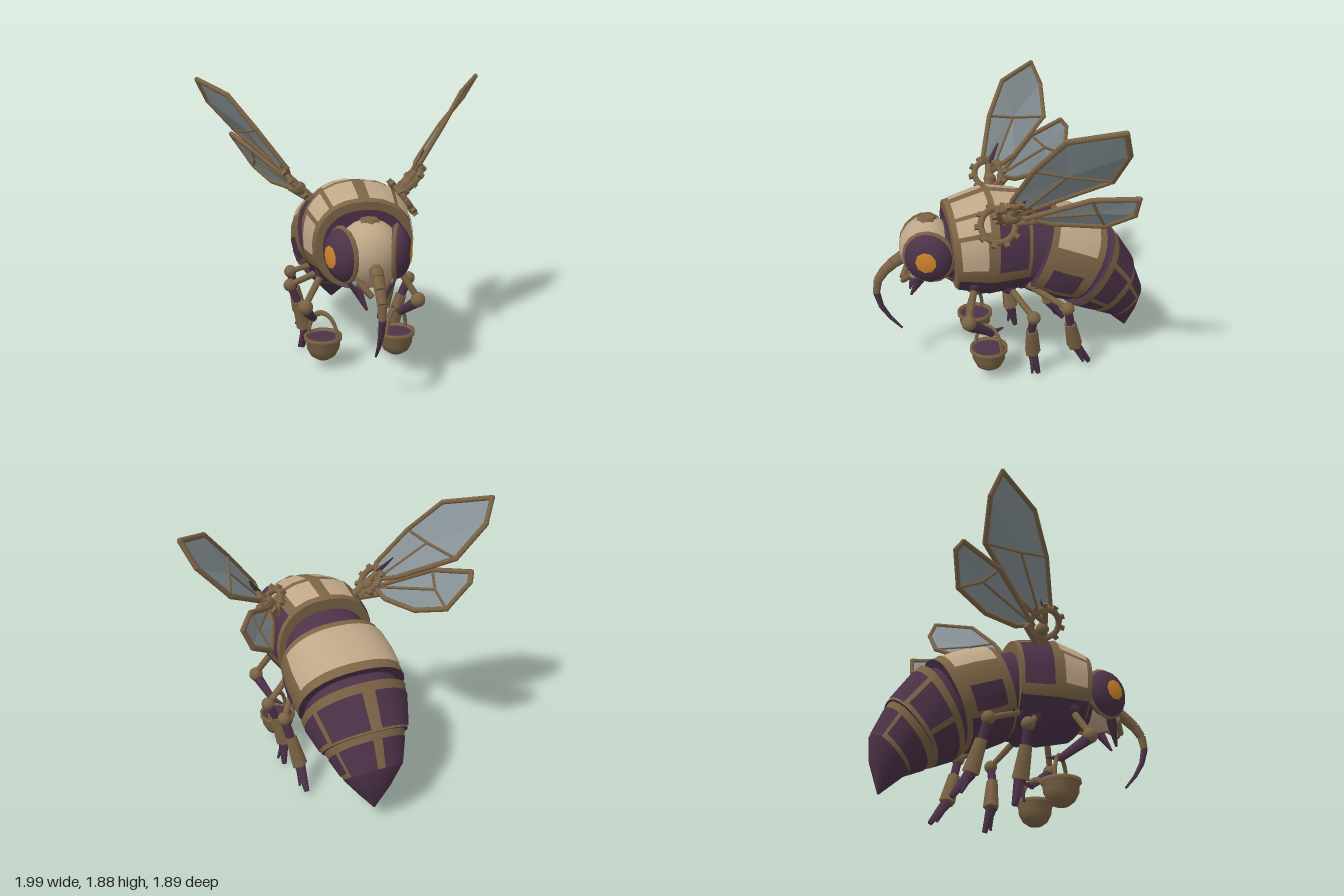
import * as THREE from 'three';

const mat = (name, color, extra = {}) => {
  const m = new THREE.MeshStandardMaterial({ color, ...extra });
  m.name = name;
  return m;
};

export function createModel() {
  const root = new THREE.Group();
  root.name = 'mechanicalBee';
  const both = { side: THREE.DoubleSide };
  const brass = mat('brass', 0x7c6446, both);
  const cream = mat('cream', 0xbfa688, both);
  const purple = mat('purple', 0x4d3349, both);
  const glass = mat('wingGlass', 0x879296, both);
  const amber = mat('amber', 0xd0852a);

  const V = (p) => new THREE.Vector3(...p);
  const add = (name, geo, material, pos = [0, 0, 0], parent = root) => {
    const m = new THREE.Mesh(geo, material);
    m.name = name;
    m.position.set(...pos);
    parent.add(m);
    return m;
  };
  // tapered rod between two points
  const rod = (name, a, b, r1, r2, material, sides = 6) => {
    const A = V(a), B = V(b);
    const m = add(name, new THREE.CylinderGeometry(r2, r1, A.distanceTo(B), sides), material);
    m.position.copy(A).add(B).multiplyScalar(0.5);
    m.quaternion.setFromUnitVectors(new THREE.Vector3(0, 1, 0), B.sub(A).normalize());
    return m;
  };
  const ball = (name, p, r, material) => add(name, new THREE.SphereGeometry(r, 10, 8), material, p);

  // Shell point: u goes round from the top (0) to the belly (+-1), v along the sections.
  // Section: [topZ, topY, bottomZ, bottomY, halfWidth]
  const shellPoint = (sections, u, v, grow) => {
    const i = Math.min(Math.floor(v), sections.length - 2), t = v - i;
    const [zt, yt, zb, yb, w] = sections[i].map((a, k) => a + (sections[i + 1][k] - a) * t);
    const pw = (a) => Math.sign(a) * Math.abs(a) ** 0.88 * grow;
    const c = pw(Math.cos(u * Math.PI)), s = pw(Math.sin(u * Math.PI));
    return [s * w, (yt + yb) / 2 + (c * (yt - yb)) / 2, (zt + zb) / 2 + (c * (zt - zb)) / 2];
  };
  const patch = (name, sections, u0, u1, v0, v1, material, grow = 1.022) => {
    const nu = Math.max(2, Math.round((u1 - u0) * 14)), nv = Math.max(1, Math.ceil(v1 - v0));
    const pos = [], idx = [];
    for (let j = 0; j <= nv; j++)
      for (let i = 0; i <= nu; i++)
        pos.push(...shellPoint(sections, u0 + ((u1 - u0) * i) / nu, v0 + ((v1 - v0) * j) / nv, grow));
    for (let j = 0; j < nv; j++)
      for (let i = 0; i < nu; i++) {
        const a = j * (nu + 1) + i, b = a + nu + 1;
        idx.push(a, a + 1, b, a + 1, b + 1, b);
      }
    const g = new THREE.BufferGeometry();
    g.setAttribute('position', new THREE.Float32BufferAttribute(pos, 3));
    g.setIndex(idx);
    g.computeVertexNormals();
    return add(name, g, material);
  };
  const middle = (s) => [(s[0] + s[2]) / 2, (s[1] + s[3]) / 2, (s[0] + s[2]) / 2, (s[1] + s[3]) / 2, 0];
  const shell = (name, sections, material, capMaterial = material) => {
    const last = sections.length - 1;
    patch(name, sections, -1, 1, 0, last, material, 1);
    patch(name + 'FrontCap', [middle(sections[0]), sections[0]], -1, 1, 0, 1, capMaterial, 1);
    patch(name + 'RearCap', [sections[last], middle(sections[last])], -1, 1, 0, 1, capMaterial, 1);
  };

  // thorax: brass shell with inset panels
  const thorax = [[0.45, 1.17, 0.41, 0.6, 0.31], [0.18, 1.25, 0.2, 0.55, 0.36], [-0.08, 1.21, -0.05, 0.57, 0.33]];
  shell('thorax', thorax, brass);
  const collar = [0.458, 1.12, 0.425, 0.65, 0.265];
  patch('collar', [middle(collar), collar], -1, 1, 0, 1, purple, 1);
  patch('bellyRight', thorax, -1, -0.64, 0.05, 2, purple);
  patch('bellyLeft', thorax, 0.64, 1, 0.05, 2, purple);
  for (const s of [-1, 1])
    [[0.025, 0.19, 0.13, 0.94, cream], [0.025, 0.19, 1.1, 1.85, cream], [0.22, 0.34, 0.13, 0.92, cream],
      [0.37, 0.55, 0.16, 0.84, cream], [0.26, 0.57, 1.14, 1.9, purple]].forEach(([a, b, v0, v1, m]) =>
      patch('thoraxPanel', thorax, s > 0 ? a : -b, s > 0 ? b : -a, v0, v1, m));

  // waist and abdomen bands
  shell('waist', [[-0.06, 1.14, -0.03, 0.58, 0.29], [-0.3, 1.06, -0.1, 0.56, 0.3]], purple);
  const bands = [
    [[-0.25, 1.13, -0.04, 0.56, 0.35], [-0.44, 1.07, -0.2, 0.48, 0.367], [-0.63, 0.98, -0.35, 0.44, 0.36]],
    [[-0.69, 0.93, -0.36, 0.4, 0.35], [-0.86, 0.68, -0.54, 0.32, 0.28]],
    [[-0.84, 0.7, -0.53, 0.32, 0.268], [-0.94, 0.46, -0.71, 0.24, 0.19]],
  ];
  bands.forEach((b) => shell('abdomenBand', b, brass, purple));
  patch('abdomenTopPanel', bands[0], -0.39, 0.39, 0.22, 1.72, cream);
  for (const s of [-1, 1]) {
    const side = (b, a, c, v0, v1) =>
      patch('abdomenPanel', bands[b], s > 0 ? a : -c, s > 0 ? c : -a, v0, v1, purple);
    side(0, 0.52, 0.68, 0.35, 1.55);
    side(0, 0.72, 1, 0.12, 1.8);
    side(1, 0.03, 0.34, 0.2, 0.96);
    side(1, 0.38, 0.62, 0.2, 0.9);
    side(1, 0.66, 1, 0.2, 0.9);
    side(2, 0.03, 0.35, 0.3, 1);
    side(2, 0.39, 1, 0.3, 0.88);
  }
  shell('abdomenCore', [[-0.55, 0.97, -0.3, 0.46, 0.31], [-0.72, 0.86, -0.4, 0.42, 0.32]], purple);
  shell('stinger', [[-0.925, 0.49, -0.68, 0.255, 0.18], [-0.94, 0.46, -0.71, 0.235, 0.19],
    [-0.93, 0.31, -0.79, 0.16, 0.1], [-0.865, 0.1, -0.855, 0.1, 0.005]], purple);

  // head
  rod('neck', [0, 0.86, 0.36], [0, 0.87, 0.48], 0.22, 0.19, purple, 14);
  add('head', new THREE.SphereGeometry(1, 18, 12), cream, [0, 0.88, 0.57]).scale.set(0.2, 0.21, 0.19);
  add('foreheadPlate', new THREE.CylinderGeometry(0.055, 0.075, 0.03, 6), brass, [0, 1.08, 0.57]);
  for (const s of [-1, 1]) {
    // eye looks outward and a little forward
    const eye = new THREE.Group();
    eye.name = 'eye';
    eye.position.set(s * 0.165, 0.88, 0.585);
    eye.rotation.y = s * 1.22;
    eye.scale.set(0.16, 0.165, 0.095);
    root.add(eye);
    add('eyeball', new THREE.SphereGeometry(1, 18, 12), purple, [0, 0, 0], eye);
    add('pupil', new THREE.SphereGeometry(1.03, 9, 4, 0, Math.PI * 2, 0, 0.43), amber, [0, 0, 0], eye)
      .rotation.x = Math.PI / 2;
    add('eyeRing', new THREE.TorusGeometry(0.9, 0.2, 6, 16), brass, [0, 0, -0.02], eye);
    rod('jaw', [s * 0.13, 0.77, 0.62], [s * 0.04, 0.56, 0.7], 0.05, 0.008, purple, 5);
    rod('cheek', [s * 0.11, 0.76, 0.67], [s * 0.02, 0.66, 0.75], 0.03, 0.02, brass, 5);
    ball('cheekPlate', [s * 0.1, 0.735, 0.68], 0.028, glass);
  }
  // curved proboscis, thick to thin
  const snout = new THREE.CatmullRomCurve3(
    [[0, 0.83, 0.73], [0, 0.75, 0.85], [0, 0.63, 0.925], [0, 0.45, 0.89], [0, 0.29, 0.77]].map(V)).getPoints(7);
  for (let i = 0; i < 7; i++)
    rod('proboscis', snout[i].toArray(), snout[i + 1].toArray(), 0.046 - i * 0.0055, 0.0405 - i * 0.0055,
      i < 4 ? brass : purple, 7);

  // legs: [hip, knee, shin top, shin bottom, toe]
  const legs = [
    [[0.2, 0.63, 0.07], [0.42, 0.49, -0.05], [0.37, 0.37, -0.05], [0.32, 0.17, -0.07], [0.335, 0.005, -0.11]],
    [[0.2, 0.66, -0.02], [0.39, 0.51, -0.29], [0.36, 0.38, -0.32], [0.32, 0.18, -0.37], [0.31, 0.03, -0.48]],
  ];
  const profile = [[0, 0], [0.045, 0.006], [0.085, 0.035], [0.11, 0.085], [0.116, 0.14], [0.128, 0.145],
    [0.128, 0.17], [0.11, 0.17], [0.106, 0.14]].map((p) => new THREE.Vector2(...p));
  for (const s of [-1, 1]) {
    const m = ([x, y, z]) => [x * s, y, z];
    for (const [hip, knee, top, low, toe] of legs) {
      ball('hipJoint', m(hip), 0.055, purple);
      rod('thigh', m(hip), m(knee), 0.024, 0.02, brass);
      ball('kneeJoint', m(knee), 0.045, brass);
      rod('shinRod', m(knee), m(top), 0.03, 0.03, purple);
      rod('shin', m(top), m(low), 0.04, 0.056, brass, 5);
      rod('foot', m(low), m(toe), 0.04, 0.018, purple, 5);
      rod('claw', m(low), m([toe[0] + 0.03, toe[1] + 0.02, toe[2] + 0.05]), 0.026, 0.008, purple, 5);
    }
    // front legs carry buckets
    ball('hipJoint', m([0.24, 0.7, 0.3]), 0.06, purple);
    rod('thigh', m([0.24, 0.7, 0.3]), m([0.37, 0.49, 0.37]), 0.025, 0.022, brass);
    ball('kneeJoint', m([0.37, 0.48, 0.37]), 0.05, brass);
    rod('forearm', m([0.37, 0.47, 0.37]), m([0.3, 0.34, 0.2]), 0.04, 0.025, purple);
    rod('claw', m([0.3, 0.34, 0.22]), m([0.26, 0.35, 0.12]), 0.025, 0.006, purple, 5);
    const bucket = new THREE.Group();
    bucket.name = 'bucket';
    bucket.position.set(s * 0.25 + 0.015, 0.05, 0.22);
    bucket.rotation.y = s * 0.7;
    root.add(bucket);
    add('pail', new THREE.LatheGeometry(profile, 16), brass, [0, 0, 0], bucket);
    add('pailContents', new THREE.CylinderGeometry(0.108, 0.108, 0.008, 16), purple, [0, 0.15, 0], bucket);
    add('pailHandle', new THREE.TorusGeometry(0.11, 0.013, 6, 14, Math.PI), brass, [0, 0.16, 0], bucket)
      .scale.y = 1.5;
  }

  // gear wheel facing a given direction
  const gear = (p, normal, r) => {
    const g = new THREE.Group();
    g.name = 'gear';
    g.position.set(...p);
    g.quaternion.setFromUnitVectors(new THREE.Vector3(0, 0, 1), V(normal).normalize());
    add('gearRing', new THREE.TorusGeometry(r, 0.021, 6, 18), brass, [0, 0, 0], g);
    for (let i = 0; i < 10; i++) {
      const a = (i * Math.PI) / 5;
      add('gearTooth', new THREE.BoxGeometry(0.035, 0.03, 0.035), brass,
        [Math.cos(a) * (r + 0.02), Math.sin(a) * (r + 0.02), 0], g).rotation.z = a;
    }
    root.add(g);
  };

  // wing: glass fan with a brass frame and veins from the root through a fork
  const wing = (name, pts, fork, targets, s) => {
    const P = pts.map(([x, y, z]) => [x * s, y, z]), F = [fork[0] * s, fork[1], fork[2]];
    const pos = [];
    P.forEach((p, i) => {
      const q = P[(i + 1) % P.length];
      pos.push(...(s > 0 ? [...F, ...p, ...q] : [...F, ...q, ...p]));
      rod(name + 'Frame', p, q, 0.017, 0.017, brass);
      ball(name + 'Corner', p, 0.017, brass);
    });
    const g = new THREE.BufferGeometry();
    g.setAttribute('position', new THREE.Float32BufferAttribute(pos, 3));
    g.computeVertexNormals();
    add(name + 'Glass', g, glass);
    for (const t of [0, ...targets]) rod(name + 'Vein', F, P[t], 0.01, 0.01, brass, 5);
  };
  const bigWing = [[0.41, 1.23, 0.04], [0.44, 1.33, 0.1], [0.62, 1.57, 0.015], [0.79, 1.78, -0.12],
    [0.98, 1.865, -0.385], [0.915, 1.72, -0.44], [0.73, 1.51, -0.42], [0.48, 1.31, -0.13]];
  const leftSmall = [[0.38, 1.18, 0], [0.6, 1.35, -0.35], [0.72, 1.38, -0.6], [0.67, 1.26, -0.6],
    [0.52, 1.14, -0.47], [0.4, 1.14, -0.15]];
  const rightSmall = [[0.38, 1.2, 0], [0.64, 1.4, -0.3], [0.76, 1.47, -0.56], [0.73, 1.42, -0.6],
    [0.61, 1.24, -0.55], [0.5, 1.16, -0.35], [0.4, 1.16, -0.12]];
  for (const s of [-1, 1]) {
    wing('largeWing', bigWing, [0.665, 1.535, -0.17], [2, 6], s);
    wing('smallWing', s > 0 ? leftSmall : rightSmall, s > 0 ? [0.57, 1.25, -0.4] : [0.61, 1.31, -0.4], [1, 4], s);
    gear([s * 0.385, 1.22, 0.08], [0.75 * s, -0.65, 0], 0.095);
    rod('wingStrut', [s * 0.26, 1.1, 0.1], [s * 0.44, 1.28, 0.06], 0.035, 0.025, brass);
    rod('wingLink', [s * 0.3, 1.12, 0.05], [s * 0.41, 1.17, -0.06], 0.025, 0.02, brass);
    ball('wingPivot', [s * 0.36, 1.19, 0.07], 0.045, brass);
    rod('wingBlade', [s * 0.43, 1.28, 0.06], [s * 0.5, 1.4, -0.02], 0.022, 0.006, purple, 4);
  }
  gear([0.31, 1.12, 0.16], [0.8, 0.6, 0], 0.11);
  return root;
}
